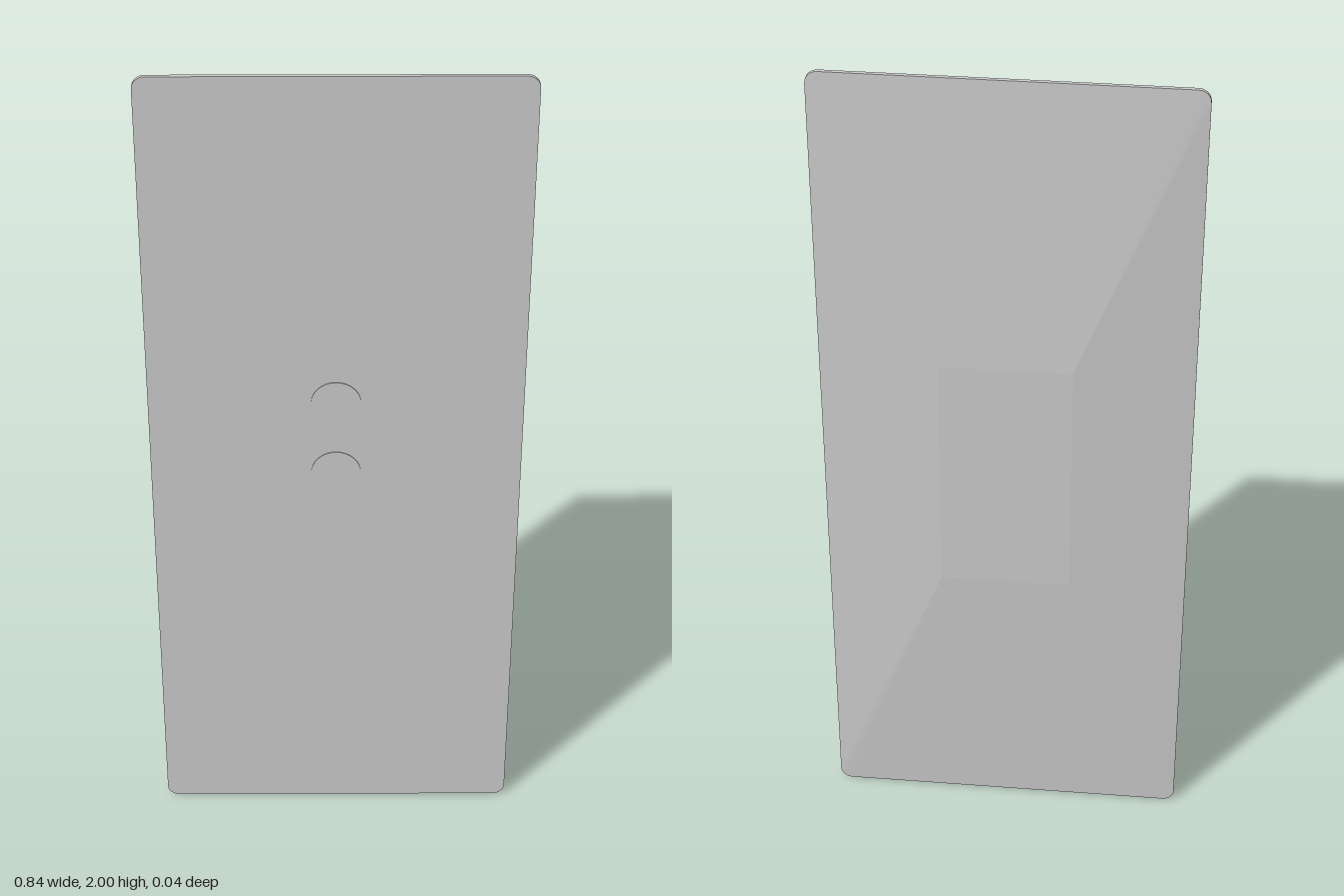
import * as THREE from 'three';

const W = 0.42, H = 1, R = 0.028;          // half width, half height, corner radius
const EDGE_Z = 0.009, FRONT_Z = 0.018, BACK_Z = -0.022;
const IN_W = 0.15, IN_H = 0.3;             // half size of the flat back plateau
const STEPS = 6;                           // segments per rounded corner

// Four rounded corners, counter-clockwise from the upper +x one
const corners = [[1, 1], [-1, 1], [-1, -1], [1, -1]].map(([sx, sy], i) => ({
  inner: new THREE.Vector3(sx * IN_W, sy * IN_H, BACK_Z),
  arc: Array.from({ length: STEPS + 1 }, (_, k) => {
    const a = (i + k / STEPS) * Math.PI / 2;
    return new THREE.Vector3(sx * (W - R) + R * Math.cos(a), sy * (H - R) + R * Math.sin(a), EDGE_Z);
  }),
}));

// Tapered back: fans at the corners, sloping sides, flat plateau
function taperedBackGeometry() {
  const pos = [];
  const tri = (...pts) => pts.forEach((p) => pos.push(p.x, p.y, p.z));
  corners.forEach((c, i) => {
    const n = corners[(i + 1) % 4];
    for (let k = 0; k < STEPS; k++) tri(c.arc[k + 1], c.arc[k], c.inner);
    tri(n.arc[0], c.arc[STEPS], c.inner);
    tri(n.arc[0], c.inner, n.inner);
  });
  const [a, b, c, d] = corners.map((k) => k.inner);
  tri(c, b, a);
  tri(d, c, a);
  const geo = new THREE.BufferGeometry();
  geo.setAttribute('position', new THREE.Float32BufferAttribute(pos, 3));
  geo.computeVertexNormals();
  return geo;
}

export function createModel() {
  const model = new THREE.Group();
  model.name = 'panel';
  const material = new THREE.MeshStandardMaterial({ color: 0xcccccc, flatShading: true });
  const add = (name, geo, y, z) => {
    const mesh = new THREE.Mesh(geo, material);
    mesh.name = name;
    mesh.position.set(0, y, z);
    model.add(mesh);
    return mesh;
  };

  // Thin rounded front plate
  const outline = new THREE.Shape(corners.flatMap((c) => c.arc.map((p) => new THREE.Vector2(p.x, p.y))));
  add('frontPlate', new THREE.ExtrudeGeometry(outline, { depth: FRONT_Z - EDGE_Z, bevelEnabled: false }), H, EDGE_Z);

  add('taperedBack', taperedBackGeometry(), H, 0);

  // Two shallow round discs on the front
  for (const [name, y] of [['upperDisc', 1.19], ['lowerDisc', 1.0]]) {
    const disc = new THREE.CylinderGeometry(0.056, 0.056, 0.004, 32).rotateX(Math.PI / 2);
    add(name, disc, y, FRONT_Z);
  }
  return model;
}
